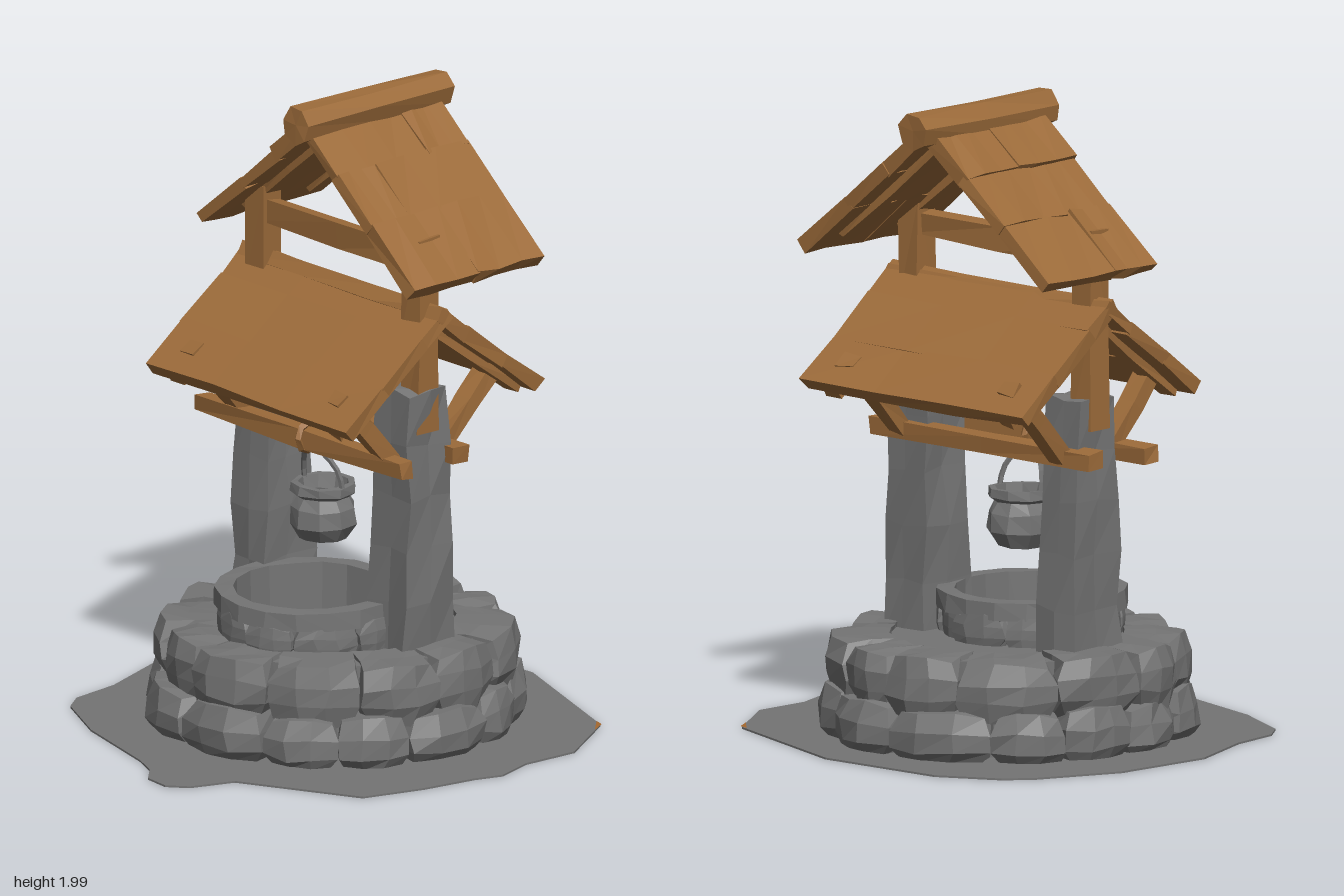
import * as THREE from 'three';

const wood = new THREE.MeshStandardMaterial({ color: 0x9c6b3a });
wood.name = 'wood';
const stone = new THREE.MeshStandardMaterial({ color: 0x747474 });
stone.name = 'stone';
const leaf = new THREE.MeshStandardMaterial({ color: 0xa5682f });
leaf.name = 'orange earth';

// Repeatable noise in -1..1
const noise = (a, b = 0, c = 0, d = 0) => {
  const s = Math.sin(a * 127.1 + b * 311.7 + c * 74.7 + d * 19.3) * 43758.5453;
  return (s - Math.floor(s)) * 2 - 1;
};

// Moves each vertex by a rule, then facets the geometry
function warp(geo, rule) {
  const p = geo.attributes.position;
  const v = new THREE.Vector3();
  for (let i = 0; i < p.count; i++) {
    v.fromBufferAttribute(p, i);
    rule(v);
    p.setXYZ(i, v.x, v.y, v.z);
  }
  const flat = geo.index ? geo.toNonIndexed() : geo;
  flat.computeVertexNormals();
  return flat;
}

// Uneven edges; coincident vertices move together
function roughen(geo, amount, seed) {
  return warp(geo, (v) => {
    const k = [v.x, v.y, v.z].map((n) => Math.round(n * 500) / 500);
    v.x += amount * noise(k[0], k[1], k[2], seed);
    v.y += amount * noise(k[1], k[2], k[0], seed + 1);
    v.z += amount * noise(k[2], k[0], k[1], seed + 2);
  });
}

function add(parent, name, geo, mat, x = 0, y = 0, z = 0) {
  const m = new THREE.Mesh(geo, mat);
  m.name = name;
  m.position.set(x, y, z);
  parent.add(m);
  return m;
}

// Hewn timber between two points
let beamSeed = 1;
function beam(parent, name, a, b, w, h) {
  const from = new THREE.Vector3(...a), to = new THREE.Vector3(...b);
  const geo = roughen(new THREE.BoxGeometry(w, h, from.distanceTo(to), 1, 1, 2), 0.006, beamSeed++);
  const m = add(parent, name, geo, wood);
  m.position.copy(from).lerp(to, 0.5);
  m.lookAt(to);
  return m;
}

// Chunky rounded block in a ring: angles, radii and heights
function ringStone(a0, a1, r0, r1, y0, y1, seed, top) {
  return warp(new THREE.BoxGeometry(2, 2, 2, 3, 3, 2), (v) => {
    const { x, y, z } = v;
    const k = (z + 1) / 2;
    const j = (n) => 0.07 * noise(x, y, z, seed + n);
    const ux = x * (1 - 0.16 * k * y * y) + j(0);
    const uy = y * (1 - 0.16 * k * x * x) + j(1);
    const uz = z - 0.22 * k * (x * x + y * y) + j(2);
    const a = THREE.MathUtils.lerp(a0, a1, (ux + 1) / 2);
    const r = THREE.MathUtils.lerp(r0, r1, (uz + 1) / 2);
    const h = THREE.MathUtils.lerp(y0, y1, (uy + 1) / 2);
    v.set(Math.sin(a) * r, THREE.MathUtils.clamp(h, 0, top), Math.cos(a) * r);
  });
}

function stoneRing(parent, name, count, r0, r1, y0, y1, top, seed) {
  const ring = new THREE.Group();
  ring.name = name;
  parent.add(ring);
  const step = (Math.PI * 2) / count;
  const edge = (i) => (i + 0.22 * noise(i % count, seed)) * step + seed;
  for (let i = 0; i < count; i++) {
    const out = r1 + 0.015 * noise(i, seed, 3);
    const high = y1 + 0.012 * noise(i, seed, 5);
    add(ring, 'stoneBlock', ringStone(edge(i), edge(i + 1), r0, out, y0, high, seed * 9 + i, top), stone);
  }
  return ring;
}

// One roof slope in strips, ridge along local x, falling towards local z * side
function roofSlope(parent, name, { side, x0, x1, run, drop, strips, joints, seed }) {
  const slope = new THREE.Group();
  slope.name = name;
  const angle = Math.atan2(drop, run), length = Math.hypot(run, drop);
  slope.rotation.x = side * angle;
  let from = 0;
  strips.forEach((to, i) => {
    const cut = joints ? THREE.MathUtils.lerp(x0, x1, 0.5 + 0.22 * noise(i, seed)) : x1;
    const ends = joints ? [[x0, cut], [cut, x1]] : [[x0, x1]];
    ends.forEach(([p, q], n) => {
      const thick = 0.042 + 0.008 * noise(i, n, seed);
      const w = (to - from) * length + 0.012;
      const geo = roughen(new THREE.BoxGeometry(q - p, thick, w, 3, 1, 1), 0.005, seed + i * 3 + n);
      add(slope, 'roofPlank', geo, wood, (p + q) / 2, -0.025 + thick / 2 - 0.021, side * (from + to) / 2 * length);
    });
    from = to;
  });
  parent.add(slope);
}

export function createModel() {
  const model = new THREE.Group();
  model.name = 'well';

  // Ground patch
  const outline = [
    [-0.37, -0.78], [0.07, -0.8], [0.6, -0.61], [0.75, -0.37], [0.74, -0.18], [0.78, -0.05], [0.75, 0.04],
    [0.72, 0.22], [0.66, 0.42], [0.28, 0.61], [0.23, 0.75], [0.17, 0.8], [0.08, 0.79], [0.02, 0.73],
    [-0.07, 0.69], [-0.4, 0.6], [-0.62, 0.49], [-0.67, 0.42], [-0.69, 0.25], [-0.78, 0], [-0.75, -0.34],
    [-0.63, -0.6], [-0.56, -0.68],
  ].map(([x, z]) => new THREE.Vector2(x, -z));
  const ground = new THREE.ExtrudeGeometry(new THREE.Shape(outline), { depth: 0.006, bevelEnabled: false });
  add(model, 'ground', ground.rotateX(-Math.PI / 2), stone);
  const patch = new THREE.Shape([[0.57, 0.62], [0.635, 0.555], [0.605, 0.61]].map((p) => new THREE.Vector2(...p)));
  add(model, 'earthPatch', new THREE.ShapeGeometry(patch).rotateX(-Math.PI / 2), leaf, 0, 0.008, 0);

  // Stepped stone base around a core with the shaft left open
  const base = new THREE.Group();
  base.name = 'stoneBase';
  base.position.set(-0.025, 0, -0.08);
  model.add(base);
  stoneRing(base, 'lowerCourse', 13, 0.36, 0.595, -0.03, 0.16, 0.2, 1.3);
  stoneRing(base, 'upperCourse', 12, 0.365, 0.555, 0.12, 0.32, 0.32, 2.6);
  const disc = new THREE.Shape().absarc(0, 0, 0.46, 0, Math.PI * 2);
  disc.holes.push(new THREE.Path().absarc(0, -0.11, 0.24, 0, Math.PI * 2, true));
  const core = new THREE.ExtrudeGeometry(disc, { depth: 0.302, bevelEnabled: false, curveSegments: 10 });
  add(base, 'baseCore', core.rotateX(-Math.PI / 2), stone);

  // Well mouth: small stones under a continuous rim, with the shaft inside
  const mouth = new THREE.Group();
  mouth.name = 'wellMouth';
  mouth.position.set(-0.025, 0, 0.03);
  model.add(mouth);
  stoneRing(mouth, 'mouthStones', 11, 0.25, 0.295, 0.29, 0.4, 0.41, 0.7);
  const rim = [[0.27, 0.28], [0.272, 0.38], [0.298, 0.385], [0.295, 0.44], [0.24, 0.44], [0.225, 0.03], [0, 0.03]];
  const rimGeo = new THREE.LatheGeometry(rim.map((p) => new THREE.Vector2(...p)), 18);
  add(mouth, 'rimAndShaft', roughen(rimGeo, 0.003, 4), stone);

  // Tapered stone pillars with timber posts above
  [[-0.35, -0.35, 0.155, 1.1, -0.39], [0.29, 0.3, 0.17, 1.14, 0.34]].forEach(([xb, xt, w, top, px], n) => {
    const geo = warp(new THREE.BoxGeometry(1, 1, 1, 2, 5, 2), (v) => {
      const t = v.y + 0.5;
      const j = (k) => 0.011 * noise(v.x, v.y, v.z, n * 7 + k);
      const x = THREE.MathUtils.lerp(xb, xt, t) + v.x * w * (1 - 0.08 * t) + j(0);
      const z = -0.11 + 0.01 * t + v.z * (0.22 - 0.065 * t) + j(1);
      v.set(x, 0.28 + t * (top - 0.28) + j(2), z);
    });
    add(model, 'stonePillar', geo, stone);
    beam(model, 'timberPost', [px, 1.0, -0.1], [px, 1.63, -0.1], 0.08, 0.085);

    // Braces and rafters carrying the lower roof
    [1, -1].forEach((s) => {
      const bx = px + (n ? -0.03 : 0.025);
      beam(model, 'brace', [bx, 0.92, -0.1 + s * 0.1], [bx, 1.17, -0.11 + s * 0.33], 0.06, 0.05);
      beam(model, 'rafter', [px, 1.35, -0.11], [px, 1.07, -0.11 + s * 0.37], 0.06, 0.04);
    });
  });

  // Cross rails either side of the pillars, and the tie between the posts
  beam(model, 'frontRail', [-0.53, 0.915, 0.03], [0.42, 0.92, 0.03], 0.055, 0.055);
  beam(model, 'backRail', [-0.5, 0.92, -0.19], [0.42, 0.925, -0.19], 0.06, 0.055);
  beam(model, 'topTie', [-0.38, 1.545, -0.1], [0.33, 1.555, -0.1], 0.05, 0.075);

  // Lower roof, ridge running sideways
  const lower = new THREE.Group();
  lower.name = 'lowerRoof';
  lower.position.set(0, 1.415, -0.11);
  model.add(lower);
  [1, -1].forEach((side) => roofSlope(lower, 'lowerRoofSlope', {
    side, x0: -0.49, x1: 0.44, run: 0.4, drop: 0.305, strips: [0.26, 0.65, 1], seed: 11 + side,
  }));

  // Upper roof, ridge running front to back
  const upper = new THREE.Group();
  upper.name = 'upperRoof';
  upper.position.set(-0.03, 1.955, 0);
  upper.rotation.y = Math.PI / 2;
  model.add(upper);
  [[1, -0.06, 0.47], [-1, -0.03, 0.455]].forEach(([side, x0, x1]) => roofSlope(upper, 'upperRoofSlope', {
    side, x0, x1, run: 0.52, drop: 0.425, strips: [0.33, 0.63, 1], joints: true, seed: 23 + side,
  }));
  const ridge = roughen(new THREE.CylinderGeometry(0.06, 0.06, 0.6, 7, 2), 0.005, 31);
  add(model, 'ridgeBeam', ridge, wood, -0.028, 1.937, -0.212).rotation.x = Math.PI / 2;
  // Rafters below the upper slopes
  [-0.1, -0.36].forEach((z) => [1, -1].forEach((s) =>
    beam(model, 'upperRafter', [-0.03, 1.885, z], [-0.03 + s * 0.42, 1.545, z], 0.06, 0.03)));

  // Bucket with its handle and hanging loop
  const bucket = new THREE.Group();
  bucket.name = 'bucket';
  bucket.position.set(-0.037, 0, -0.035);
  model.add(bucket);
  const pot = [[0, 0.582], [0.075, 0.582], [0.105, 0.63], [0.1, 0.685], [0.08, 0.72], [0.102, 0.735], [0.1, 0.762],
    [0.08, 0.762], [0.07, 0.72], [0.08, 0.64], [0, 0.61]];
  const potGeo = new THREE.LatheGeometry(pot.map((p) => new THREE.Vector2(...p)), 9);
  add(bucket, 'bucketBody', roughen(potGeo, 0.003, 8), stone);
  const arc = new THREE.CatmullRomCurve3([[-0.088, 0.75, 0], [-0.08, 0.81, 0.01], [-0.035, 0.87, 0.035],
    [0.035, 0.87, 0.035], [0.08, 0.81, 0.01], [0.088, 0.75, 0]].map((p) => new THREE.Vector3(...p)));
  add(bucket, 'bucketHandle', warp(new THREE.TubeGeometry(arc, 10, 0.009, 5), () => {}), stone);
  const loop = roughen(new THREE.TorusGeometry(0.045, 0.013, 4, 8), 0.003, 5);
  add(bucket, 'hangingLoop', loop, wood, 0.005, 0.922, 0.065).rotation.y = Math.PI / 2;

  return model;
}
